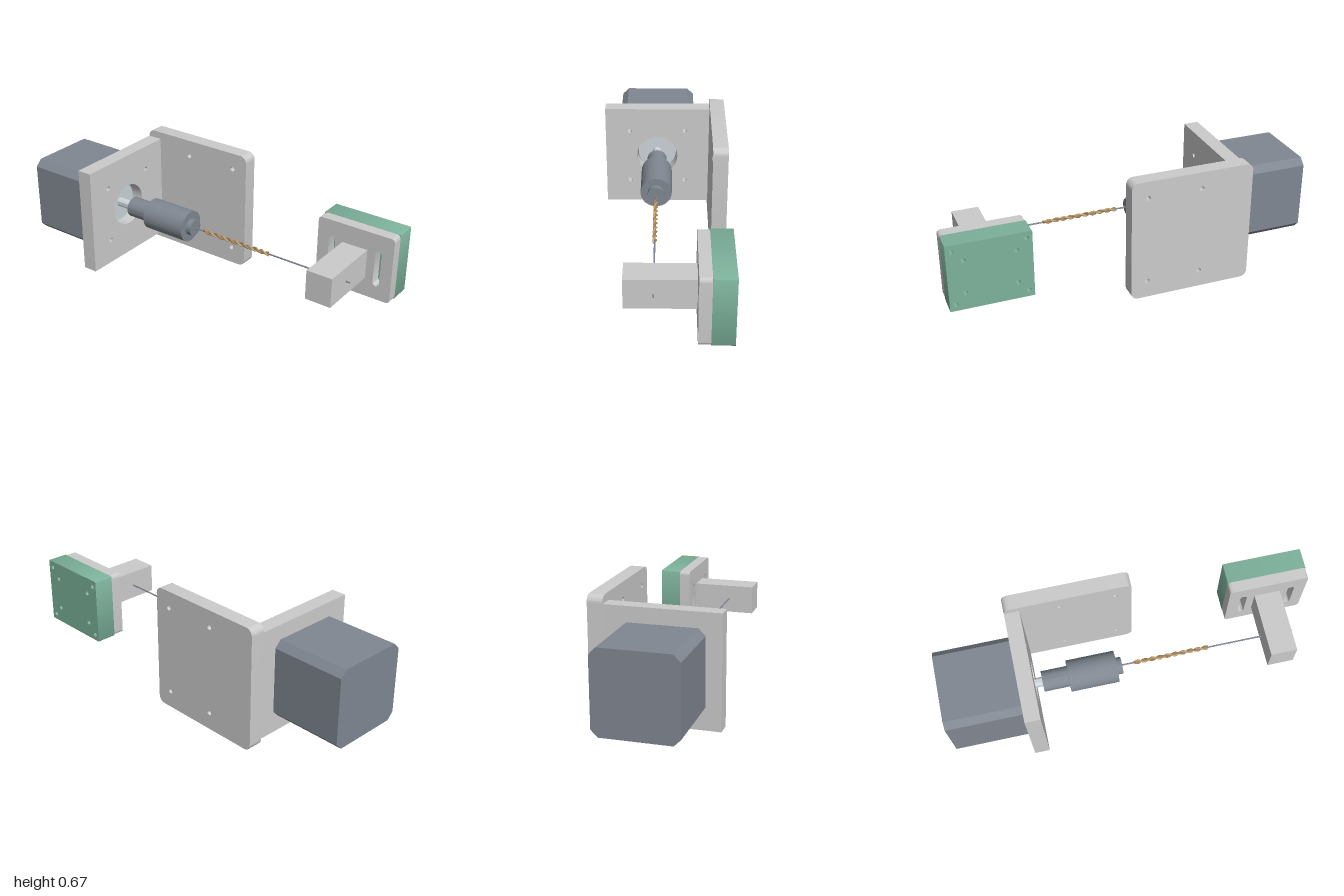
import * as THREE from 'three';
import { toCreasedNormals } from 'three/addons/utils/BufferGeometryUtils.js';

const AXIS_Y = 0.335, AXIS_Z = 0.041;
const mat = (color) => new THREE.MeshStandardMaterial({ color });
const grey = mat(0xcccccc), dark = mat(0x808791), steel = mat(0xccd4da);
const green = mat(0x7db29b), copper = mat(0xb5834f), gold = mat(0xc9a66b);

// Rectangle outline with rounded corners
function roundedRect(x0, y0, x1, y1, r) {
  const s = new THREE.Shape();
  if (r === 0) {
    s.moveTo(x0, y0).lineTo(x1, y0).lineTo(x1, y1).lineTo(x0, y1).closePath();
    return s;
  }
  s.absarc(x1 - r, y0 + r, r, -Math.PI / 2, 0);
  s.absarc(x1 - r, y1 - r, r, 0, Math.PI / 2);
  s.absarc(x0 + r, y1 - r, r, Math.PI / 2, Math.PI);
  s.absarc(x0 + r, y0 + r, r, Math.PI, Math.PI * 1.5);
  s.closePath();
  return s;
}

function drill(shape, x, y, r) {
  shape.holes.push(new THREE.Path().absarc(x, y, r, 0, Math.PI * 2, true));
}

function extrude(shape, depth) {
  const g = new THREE.ExtrudeGeometry(shape, { depth, bevelEnabled: false, curveSegments: 20 });
  return toCreasedNormals(g, 0.6);
}

// Solid of revolution along the drive axis, from [x, radius] pairs
function turned(profile) {
  const pts = profile.map(([x, r]) => new THREE.Vector2(r, x));
  const g = new THREE.LatheGeometry(pts, 48).rotateZ(-Math.PI / 2);
  return toCreasedNormals(g, 0.6).translate(0, AXIS_Y, AXIS_Z);
}

export function createModel() {
  const model = new THREE.Group();
  const add = (name, geometry, material) => {
    const m = new THREE.Mesh(geometry, material);
    m.name = name;
    model.add(m);
    return m;
  };

  // Mounting plate at the back
  const back = roundedRect(-0.6, 0, 0.063, 0.667, 0.037);
  for (const x of [-0.317, -0.025]) for (const y of [0.094, 0.576]) drill(back, x, y, 0.013);
  add('backPlate', extrude(back, 0.08).translate(0, 0, -0.333), grey);

  // Motor plate, drawn in (-z, y) and turned to face +x
  const face = roundedRect(-0.333, 0.041, 0.253, 0.627, 0);
  drill(face, -AXIS_Z, AXIS_Y, 0.116);
  for (const a of [-0.157, 0.157]) for (const b of [-0.157, 0.157]) drill(face, -AXIS_Z + a, AXIS_Y + b, 0.013);
  add('motorPlate', extrude(face, 0.08).rotateY(Math.PI / 2).translate(-0.6, 0, 0), grey);

  // Motor body with chamfered long edges
  const h = 0.212, c = 0.177;
  const body = new THREE.Shape([
    [h, -c], [h, c], [c, h], [-c, h], [-h, c], [-h, -c], [-c, -h], [c, -h],
  ].map(([x, y]) => new THREE.Vector2(x, y)));
  add('motorBody', extrude(body, 0.4).rotateY(Math.PI / 2).translate(-1, AXIS_Y, AXIS_Z), dark);
  add('motorBoss', turned([[-0.605, 0], [-0.605, 0.108], [-0.58, 0.108], [-0.58, 0]]), steel);
  add('motorShaft', turned([[-0.59, 0], [-0.59, 0.025], [-0.46, 0.025], [-0.46, 0]]), steel);

  // Stepped chuck
  add('chuck', turned([
    [-0.48, 0], [-0.48, 0.055], [-0.342, 0.055], [-0.342, 0.084], [-0.085, 0.084],
    [-0.085, 0.045], [-0.055, 0.045], [-0.055, 0],
  ]), dark);

  // Straight core wire and the two strands twisted round it
  add('coreWire', turned([[-0.07, 0], [-0.07, 0.004], [0.877, 0.004], [0.877, 0]]), dark);
  [copper, gold].forEach((m, k) => {
    const pts = [];
    for (let i = 0; i <= 120; i++) {
      const a = (i / 120) * Math.PI * 2 * 5 + k * Math.PI;
      pts.push(new THREE.Vector3(0.005 + 0.41 * i / 120, AXIS_Y + 0.007 * Math.cos(a), AXIS_Z + 0.007 * Math.sin(a)));
    }
    add('twistedStrand' + (k + 1), new THREE.TubeGeometry(new THREE.CatmullRomCurve3(pts), 240, 0.005, 8), m);
  });

  // Slotted plate and guide arm of the far support
  const plate = roundedRect(0.573, 0.154, 0.997, 0.517, 0.018);
  for (const x of [0.655, 0.916]) {
    const slot = new THREE.Path();
    slot.absarc(x, 0.412, 0.018, 0, Math.PI);
    slot.absarc(x, 0.247, 0.018, Math.PI, Math.PI * 2);
    slot.closePath();
    plate.holes.push(slot);
  }
  add('slottedPlate', extrude(plate, 0.06).translate(0, 0, -0.222), grey);
  add('guideArm', new THREE.BoxGeometry(0.14, 0.159, 0.344).translate(0.785, 0.3355, 0.01), grey);

  // Base block with an inner and an outer set of holes
  const base = roundedRect(0.573, 0.154, 0.997, 0.517, 0.004);
  for (const sx of [-1, 1]) for (const sy of [-1, 1]) {
    drill(base, 0.7855 + sx * 0.1305, 0.3355 + sy * 0.09, 0.013);
    drill(base, 0.785 + sx * 0.182, 0.3355 + sy * 0.146, 0.013);
  }
  add('baseBlock', extrude(base, 0.111).translate(0, 0, -0.333), green);

  return model;
}
